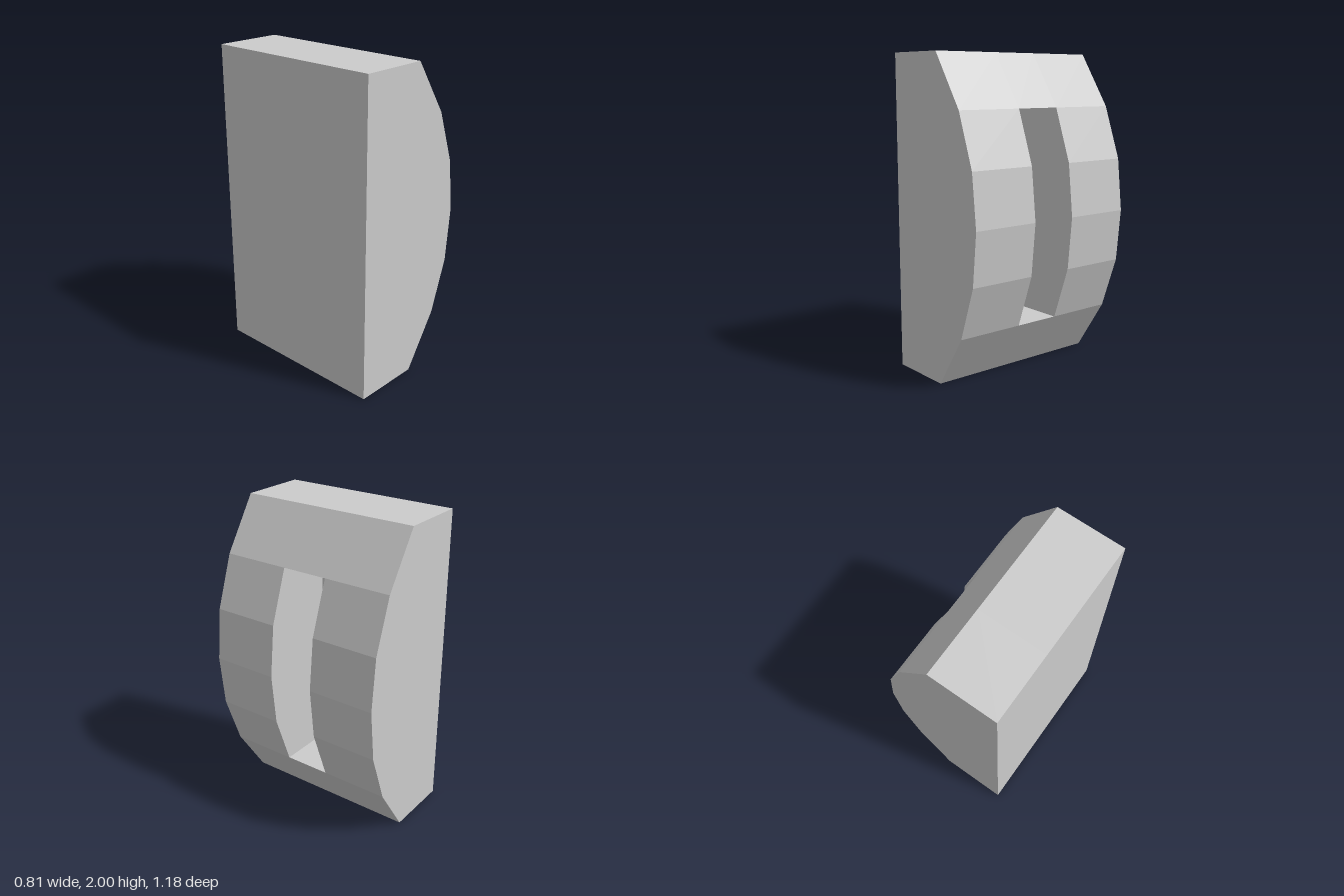
import * as THREE from 'three';

const HALF_DEPTH = 0.59;   // body along z
const HALF_SLOT = 0.15;    // slot along z
const BACK_X = -0.404;     // flat rear plane
const SLOT_FLOOR_X = -0.12;

// Faceted bulge from bottom to top, mirrored about y = 1
const lower = [[0.032, 0], [0.252, 1 / 3], [0.37, 2 / 3]];
const bulge = [...lower, [0.404, 1], ...lower.map(([x, y]) => [x, 2 - y]).reverse()];

// Extrudes an x-y outline between two z planes
function slab(name, points, z0, z1, material) {
  const shape = new THREE.Shape(points.map(([x, y]) => new THREE.Vector2(x, y)));
  const geometry = new THREE.ExtrudeGeometry(shape, { depth: z1 - z0, bevelEnabled: false });
  geometry.translate(0, 0, z0);
  const mesh = new THREE.Mesh(geometry, material);
  mesh.name = name;
  return mesh;
}

export function createModel() {
  const group = new THREE.Group();
  group.name = 'slottedBlock';
  const material = new THREE.MeshStandardMaterial({ color: 0xcccccc, flatShading: true });

  // Full-profile cheeks either side of the slot
  const full = [[BACK_X, 0], ...bulge, [BACK_X, 2]];
  group.add(slab('frontCheek', full, HALF_SLOT, HALF_DEPTH, material));
  group.add(slab('rearCheek', full, -HALF_DEPTH, -HALF_SLOT, material));

  // Middle section with the slot cut between the first and last facets
  const [bottom, slotLow] = bulge;
  const [slotHigh, top] = bulge.slice(-2);
  const notched = [
    [BACK_X, 0], bottom, slotLow,
    [SLOT_FLOOR_X, slotLow[1]], [SLOT_FLOOR_X, slotHigh[1]],
    slotHigh, top, [BACK_X, 2],
  ];
  group.add(slab('slotCore', notched, -HALF_SLOT, HALF_SLOT, material));

  return group;
}
